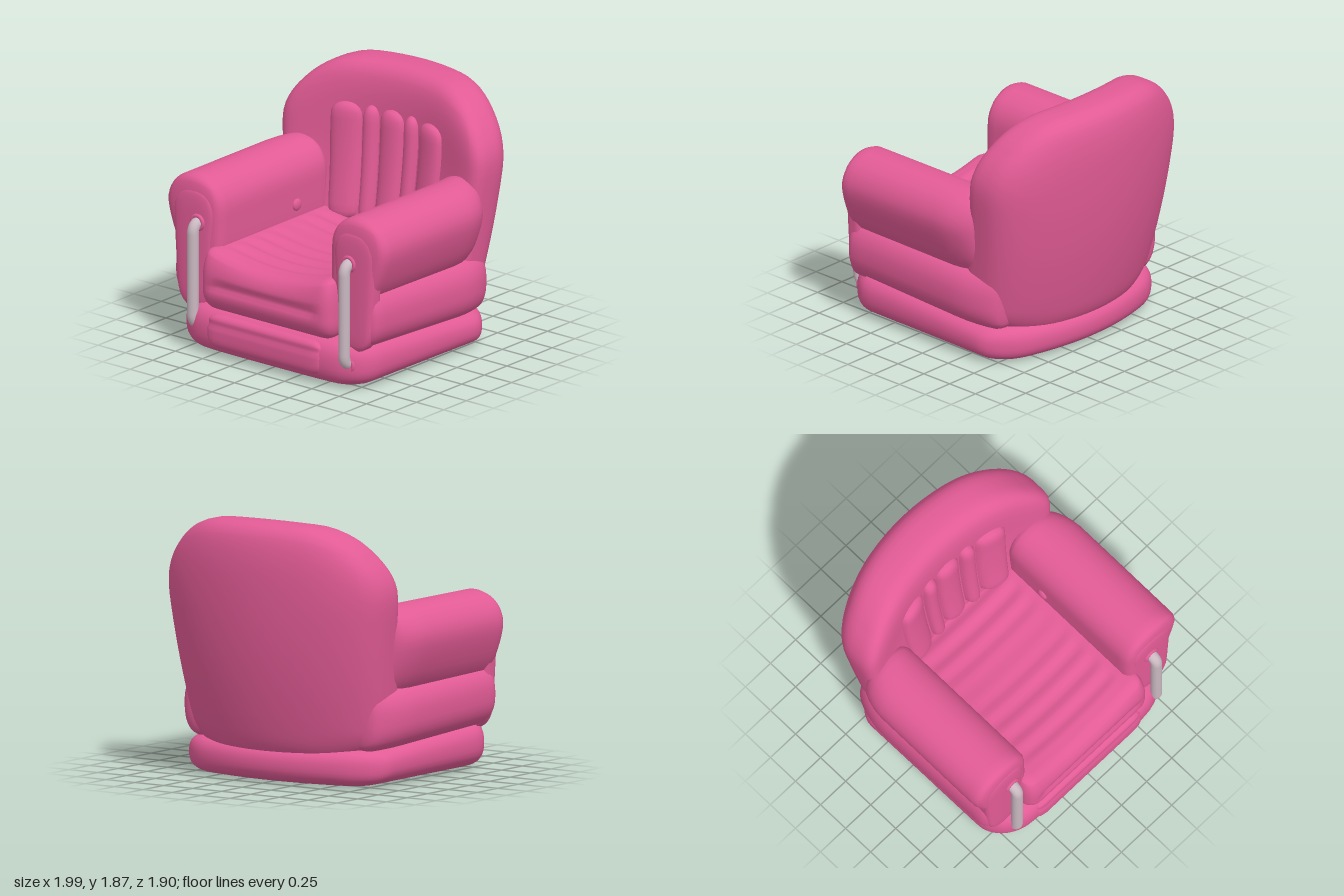
import * as THREE from 'three';
import { mergeVertices } from 'three/addons/utils/BufferGeometryUtils.js';

const pink = new THREE.MeshStandardMaterial({ color: 0xe25b95 });
pink.name = 'pink vinyl';
const grey = new THREE.MeshStandardMaterial({ color: 0xcab8c1 });
grey.name = 'grey tube';

const clamp = THREE.MathUtils.clamp;
const bump = (v, c, w) => Math.exp(-(((v - c) / w) ** 2));

// Inflated pad between two corners. radii: rounding on each axis; k: squareness
// of the edge along `axis`; bend: rule that moves each vertex.
function puff(name, min, max, radii, { axis = 2, k = 2, segs = [16, 16, 16], bend } = {}) {
  const half = min.map((m, i) => (max[i] - m) / 2);
  const mid = min.map((m, i) => (max[i] + m) / 2);
  let geo = new THREE.BoxGeometry(2, 2, 2, ...segs);
  geo.deleteAttribute('normal');
  geo.deleteAttribute('uv');
  geo = mergeVertices(geo, 1e-4);
  geo.clearGroups();
  const pos = geo.attributes.position;
  const v = new THREE.Vector3();
  for (let i = 0; i < pos.count; i++) {
    v.fromBufferAttribute(pos, i);
    const p = v.toArray().map((u, a) => Math.sin((u * Math.PI) / 2) * half[a]);
    const r = radii.map((q, a) => Math.min(q, half[a]));
    const c = p.map((q, a) => clamp(q, r[a] - half[a], half[a] - r[a]));
    const d = p.map((q, a) => (q - c[a]) / r[a]);
    const across = Math.hypot(...d.filter((_, a) => a !== axis));
    const len = (across ** k + Math.abs(d[axis]) ** k) ** (1 / k) || 1;
    v.fromArray(c.map((q, a) => mid[a] + q + (d[a] / len) * r[a]));
    if (bend) bend(v);
    pos.setXYZ(i, v.x, v.y, v.z);
  }
  geo.computeVertexNormals();
  const mesh = new THREE.Mesh(geo, pink);
  mesh.name = name;
  return mesh;
}

// Curves the backrest around the sitter, tightens its lower corners and draws
// its foot forward
function bendBack(v) {
  v.y -= 0.03 * (v.x / 0.6) ** 2 * clamp((v.y - 1.3) / 0.4, 0, 1);
  if (v.y < 0.5) v.y = 0.5 - (0.5 - v.y) * 0.5;
  v.z += 0.2 * (v.x / 0.85) ** 2;
  v.z += 0.2 * (Math.max(0, 1.6 - v.y) / 1.35) ** 2;
  v.x *= 1 - 0.13 * clamp((1.3 - v.y) / 1.05, 0, 1);
}

function bendBase(v) {
  v.y *= 1 - 0.25 * clamp((0.8 - v.z) / 1.45, 0, 1);
  const q = (v.x / 0.85) ** 2;
  if (v.z < 0) v.z += 0.2 * q * (-v.z / 0.76);
  else v.z -= 0.06 * q * q * v.z;
}

// Dished seat with cross ribs on top and a crease along the front
function bendSeat(v) {
  const top = clamp((v.y - 0.55) / 0.12, 0, 1);
  const inner = clamp((0.47 - Math.abs(v.x)) / 0.06, 0, 1);
  const span = clamp((0.82 - v.z) / 0.1, 0, 1);
  const calm = 1 - 0.8 * bump(v.z, 0.1, 0.13);
  v.y += top * 0.07 * (v.x / 0.5) ** 2;
  v.y += top * inner * span * calm * 0.011 * Math.cos((v.z / 0.155) * Math.PI * 2);
  const front = clamp((v.z - 0.75) / 0.15, 0, 1);
  v.z -= front * 0.025 * bump(v.y, 0.535, 0.03) * clamp((0.52 - Math.abs(v.x)) / 0.1, 0, 1);
}

// Draws the outer flank in below the arm roll and where it meets the backrest
function bendArm(v) {
  const s = Math.sign(v.x), ax = Math.abs(v.x);
  const low = Math.max(0, (1.05 - v.y) / 0.33);
  const rear = Math.max(0, (-0.15 - v.z) / 0.25);
  v.x = s * (ax - (0.11 * low ** 1.5 + 0.08 * rear ** 2) * ((ax - 0.5) / 0.5));
}

function bendPanel(v) {
  const s = Math.sign(v.x), t = clamp((v.y - 0.4) / 0.6, 0, 1);
  v.x = s * (0.735 + (Math.abs(v.x) - 0.735) * (0.8 + 0.2 * t));
}

function bendSide(v) {
  const s = Math.sign(v.x), ax = Math.abs(v.x);
  const rear = Math.max(0, (-0.2 - v.z) / 0.35);
  v.x = s * (ax - 0.1 * rear ** 2 * ((ax - 0.5) / 0.43));
  v.y -= 0.06 * clamp((0.8 - v.z) / 1.3, 0, 1);
}

// Pads that span from one x to another on the model's left or right
function sidePuff(s, name, x0, x1, y, z, radii, options) {
  const [a, b] = s > 0 ? [x0, x1] : [-x1, -x0];
  return puff(name, [a, y[0], z[0]], [b, y[1], z[1]], radii, options);
}

export function createModel() {
  const model = new THREE.Group();
  model.name = 'inflatable armchair';

  // Base cushion with its front pad
  model.add(puff('base', [-0.86, 0, -0.76], [0.86, 0.36, 0.94], [0.28, 0.18, 0.22],
    { axis: 1, k: 2.6, segs: [28, 14, 28], bend: bendBase }));
  model.add(puff('basePad', [-0.53, 0.07, 0.8], [0.53, 0.32, 0.95], [0.1, 0.09, 0.06],
    { k: 2.5, bend: (v) => { if (v.z > 0.87) v.z -= 0.012 * bump(v.y, 0.25, 0.02); } }));

  // Seat
  model.add(puff('seat', [-0.6, 0.33, -0.55], [0.6, 0.71, 0.945], [0.12, 0.15, 0.13],
    { axis: 0, k: 2.4, segs: [24, 22, 72], bend: bendSeat }));

  // Backrest
  model.add(puff('backrest', [-0.92, -0.2, -0.95], [0.92, 1.87, -0.5], [0.54, 0.5, 0.225],
    { k: 3.6, segs: [32, 36, 14], bend: bendBack }));

  // Upright tubes on the backrest: centre and width, mirrored
  const tubes = [[0, 0.23], [0.183, 0.14], [0.385, 0.265]];
  for (const [x, w] of tubes) {
    for (const s of x ? [1, -1] : [1]) {
      model.add(puff('backTube', [s * x - w / 2, 0.7, -0.66], [s * x + w / 2, 1.57, -0.44],
        [w / 2, 0.1, 0.11], { k: 2.3, segs: [12, 16, 10], bend: bendBack }));
    }
  }

  for (const s of [1, -1]) {
    // Arm, side cushion and arm front
    model.add(sidePuff(s, 'arm', 0.5, 1, [0.55, 1.27], [-0.42, 0.83], [0.25, 0.24, 0.08],
      { k: 3, segs: [20, 20, 20], bend: bendArm }));
    model.add(sidePuff(s, 'sideCushion', 0.5, 0.93, [0.31, 0.76], [-0.56, 0.825], [0.17, 0.2, 0.09],
      { k: 3, segs: [16, 16, 20], bend: bendSide }));
    model.add(sidePuff(s, 'armFront', 0.55, 0.92, [0.28, 1.18], [0.7, 0.84], [0.17, 0.18, 0.04],
      { k: 2.6, segs: [16, 20, 10], bend: bendPanel }));

    // Air valve on the inside of the arm
    const valve = new THREE.Mesh(new THREE.SphereGeometry(0.045, 16, 12), pink);
    valve.name = 'valve';
    valve.scale.x = 0.5;
    valve.position.set(s * 0.5, 0.87, -0.04);
    model.add(valve);

    // Bent front tube with a collar at each end
    const tubeX = s > 0 ? 0.705 : -0.68;
    const path = new THREE.CurvePath();
    const P = (y, z) => new THREE.Vector3(tubeX, y, z);
    path.add(new THREE.LineCurve3(P(0.185, 0.78), P(0.185, 0.82)));
    path.add(new THREE.QuadraticBezierCurve3(P(0.185, 0.82), P(0.19, 0.89), P(0.27, 0.89)));
    path.add(new THREE.LineCurve3(P(0.27, 0.89), P(0.86, 0.89)));
    path.add(new THREE.QuadraticBezierCurve3(P(0.86, 0.89), P(0.935, 0.89), P(0.935, 0.82)));
    path.add(new THREE.LineCurve3(P(0.935, 0.82), P(0.935, 0.78)));
    const post = new THREE.Mesh(new THREE.TubeGeometry(path, 64, 0.042, 16), grey);
    post.name = 'frontTube';
    model.add(post);
    for (const [y, z] of [[0.185, 0.85], [0.935, 0.838]]) {
      const collar = new THREE.Mesh(new THREE.TorusGeometry(0.048, 0.016, 10, 24), pink);
      collar.name = 'collar';
      collar.position.set(tubeX, y, z);
      model.add(collar);
    }
  }
  return model;
}
